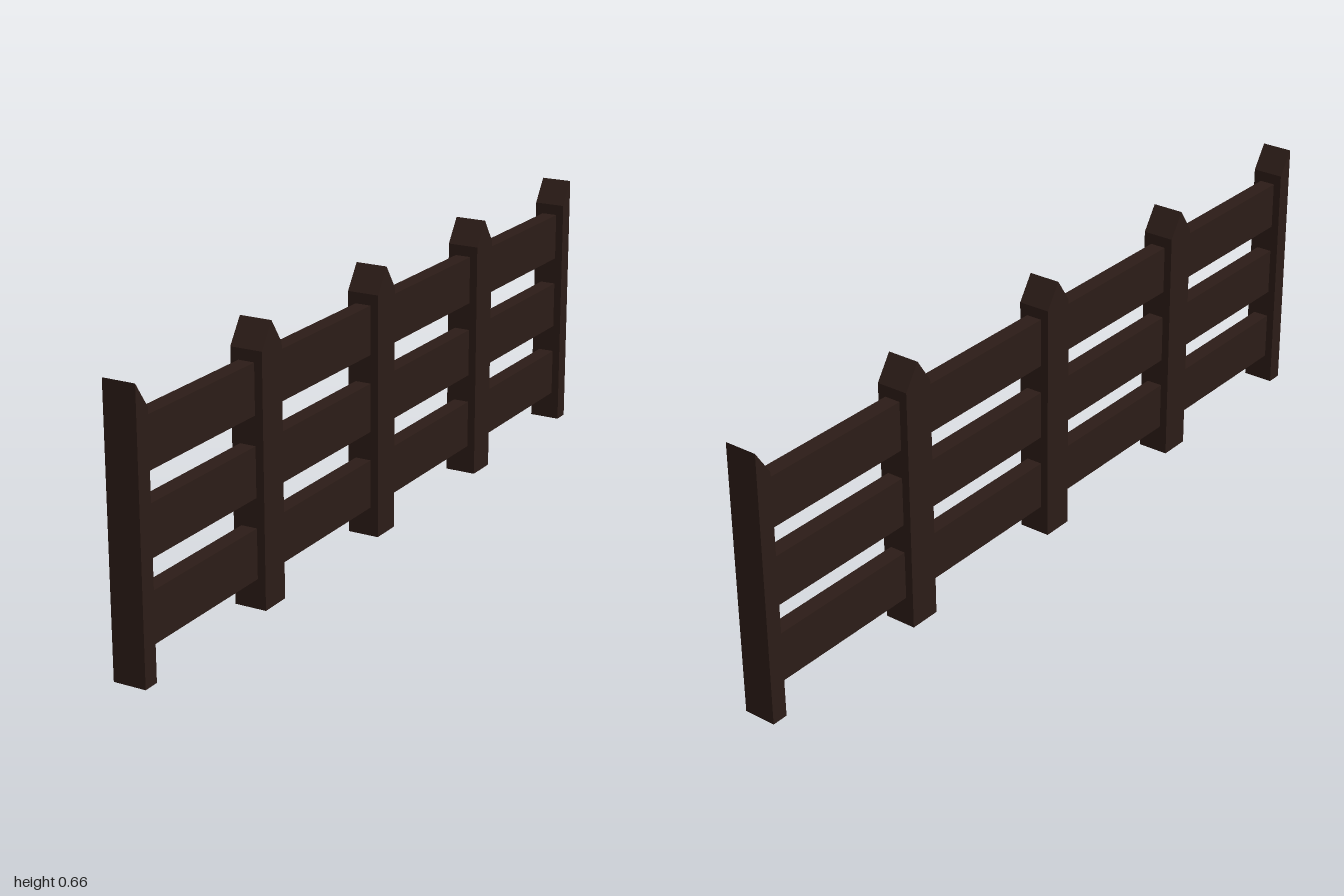
import * as THREE from 'three';

const WOOD = new THREE.MeshStandardMaterial({ color: 0x2c1c17, flatShading: true });
const HALF = 0.04, SHOULDER = 0.6, PEAK = 0.66;

// Pointed post: outline in (z, y), extruded across x. Zero extent on one side makes a half post.
function makePost(name, z, front, back) {
  const outline = [[-back, 0], [front, 0]];
  if (front) outline.push([front, SHOULDER]);
  outline.push([0, PEAK]);
  if (back) outline.push([-back, SHOULDER]);
  const shape = new THREE.Shape(outline.map(([a, y]) => new THREE.Vector2(a, y)));
  const geo = new THREE.ExtrudeGeometry(shape, { depth: HALF * 2, bevelEnabled: false });
  geo.translate(0, 0, -HALF);
  geo.rotateY(-Math.PI / 2); // outline axis becomes +z
  const post = new THREE.Mesh(geo, WOOD);
  post.name = name;
  post.position.z = z;
  return post;
}

export function createModel() {
  const fence = new THREE.Group();
  fence.name = 'fence';

  // Three full posts, and a half post closing each end
  [-0.5, 0, 0.5].forEach((z, i) => fence.add(makePost(`post${i + 1}`, z, HALF, HALF)));
  fence.add(makePost('frontEndPost', 1, 0, HALF));
  fence.add(makePost('backEndPost', -1, HALF, 0));

  // Three horizontal rails running through the posts
  [['lowerRail', 0.132], ['middleRail', 0.323], ['upperRail', 0.513]].forEach(([name, y]) => {
    const rail = new THREE.Mesh(new THREE.BoxGeometry(0.04, 0.12, 1.96), WOOD);
    rail.name = name;
    rail.position.y = y;
    fence.add(rail);
  });

  return fence;
}
